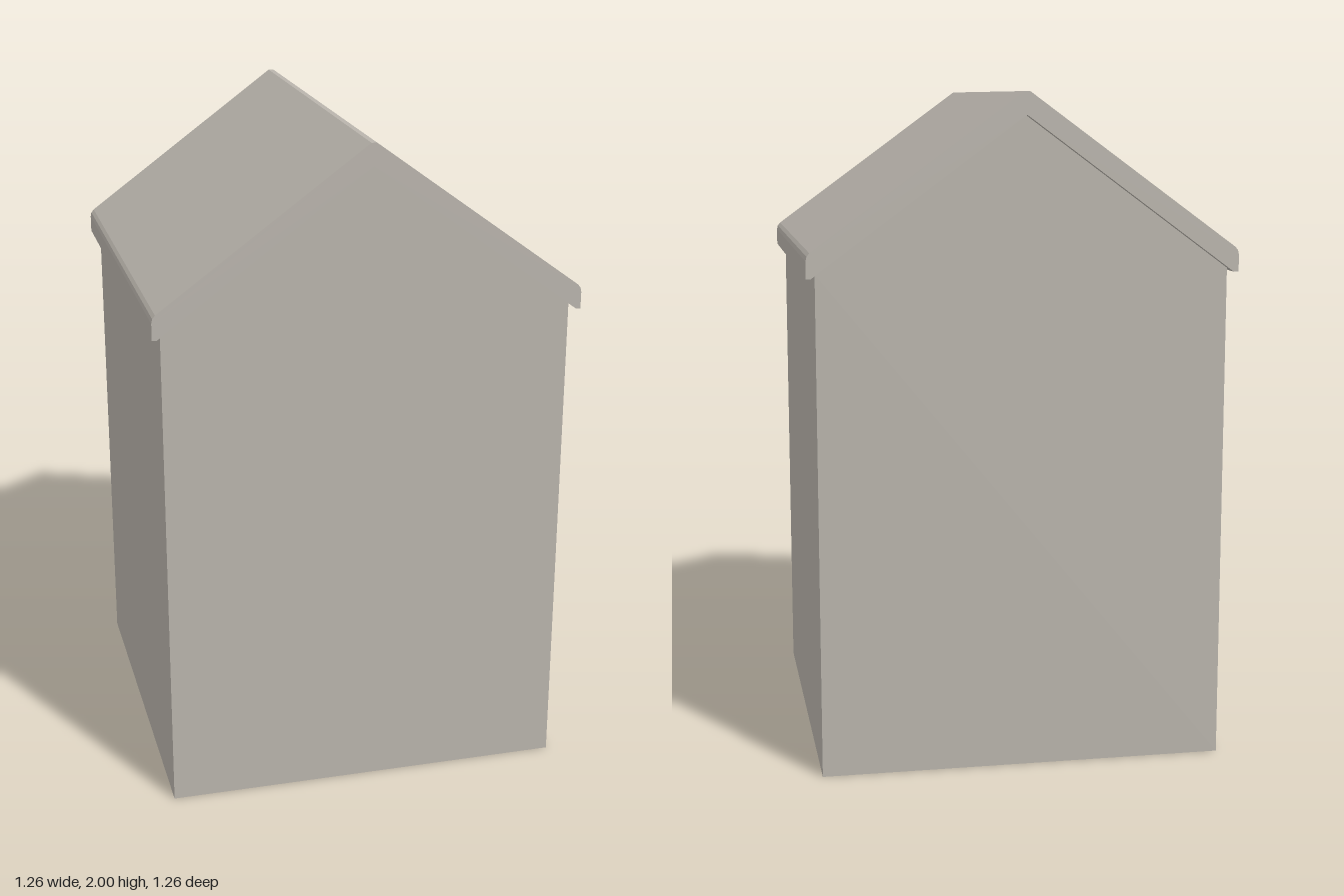
import * as THREE from 'three';

const stone = new THREE.MeshStandardMaterial({ color: 0xb9b4ac });
stone.name = 'warm grey';

// Extrude a symmetric x-y outline along z, centred on z = 0
function prism(name, points, depth) {
  const shape = new THREE.Shape(points.map(([x, y]) => new THREE.Vector2(x, y)));
  const geometry = new THREE.ExtrudeGeometry(shape, { depth, bevelEnabled: false });
  geometry.translate(0, 0, -depth / 2);
  const mesh = new THREE.Mesh(geometry, stone);
  mesh.name = name;
  return mesh;
}

const mirror = (points) => points.map(([x, y]) => [-x, y]).reverse();

export function createModel() {
  const group = new THREE.Group();
  group.name = 'gabledHouse';

  // Walls with gable ends reaching the underside of the roof
  group.add(prism('walls', [[-0.605, 0], [0.605, 0], [0.605, 1.491], [0, 1.934], [-0.605, 1.491]], 1.21));

  // Roof slab: flat ridge, rounded eave corners and an overhang
  const outer = [[0.618, 1.48], [0.632, 1.48], [0.632, 1.53], [0.629, 1.543], [0.621, 1.553], [0.008, 2]];
  group.add(prism('roof', [[0, 1.934], ...outer, ...mirror(outer)], 1.264));

  return group;
}
